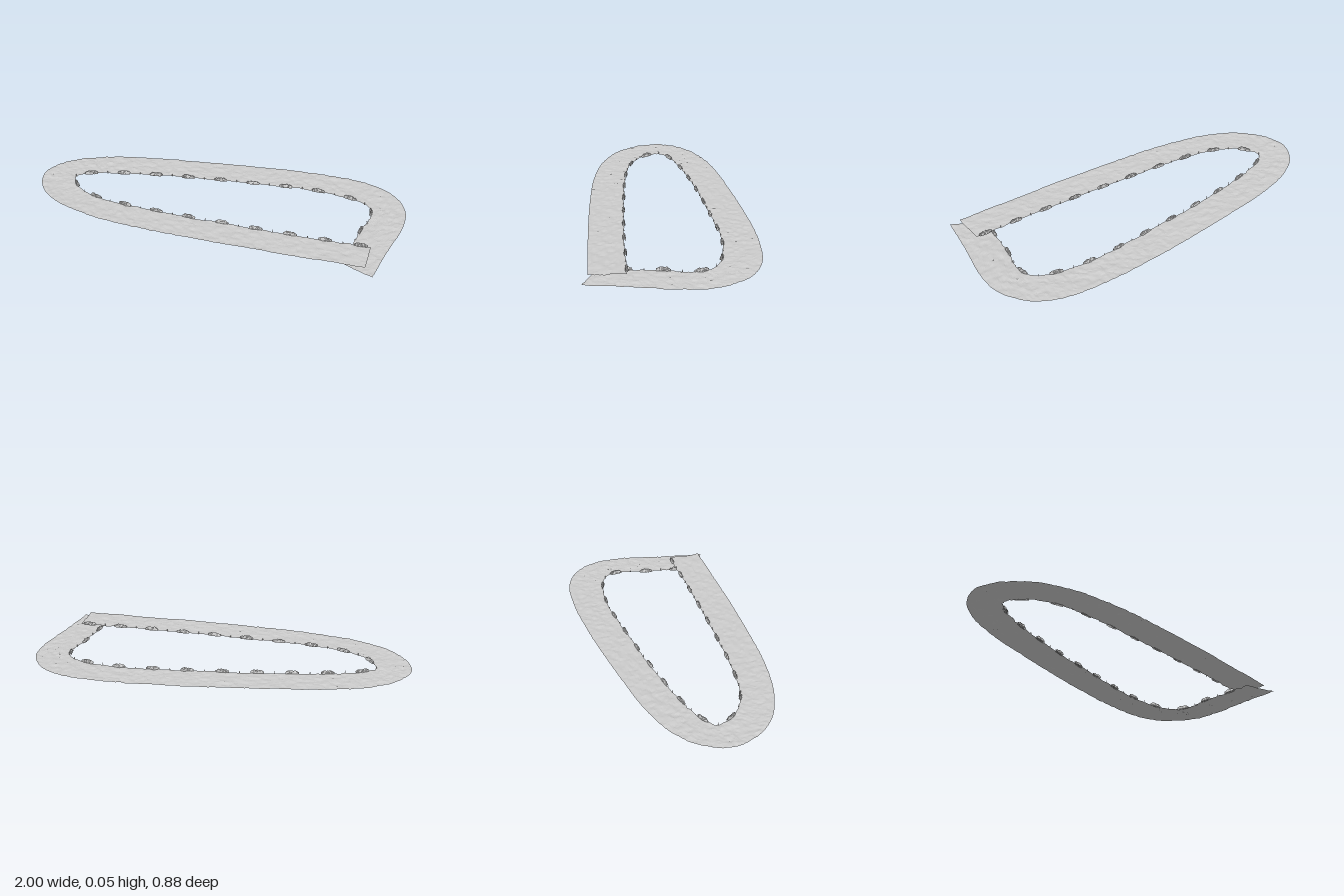
import * as THREE from 'three';

const material = new THREE.MeshStandardMaterial({ color: 0xcccccc, side: THREE.DoubleSide, flatShading: true });

// Paired edge points [outerX, outerZ, innerX, innerZ] along the rising loop
const EDGES = [
  [0.91, 0.435, 0.745, 0.36], [0.945, 0.22, 0.768, 0.2], [0.995, -0.05, 0.79, 0.03],
  [0.985, -0.2, 0.815, -0.08], [0.9, -0.34, 0.8, -0.17], [0.75, -0.42, 0.72, -0.225],
  [0.5, -0.445, 0.47, -0.262], [0.2, -0.432, 0.2, -0.245], [-0.2, -0.39, -0.2, -0.205],
  [-0.6, -0.33, -0.55, -0.15], [-0.8, -0.265, -0.7, -0.11], [-0.93, -0.175, -0.78, -0.075],
  [-0.998, -0.04, -0.815, -0.04], [-0.96, 0.1, -0.79, 0.025], [-0.85, 0.22, -0.73, 0.09],
  [-0.65, 0.31, -0.6, 0.15], [-0.4, 0.36, -0.4, 0.182], [0, 0.388, 0, 0.207],
  [0.4, 0.4, 0.4, 0.22], [0.868, 0.405, 0.868, 0.225],
];
const outer = new THREE.CatmullRomCurve3(EDGES.map(e => new THREE.Vector3(e[0], 0, e[1])));
const inner = new THREE.CatmullRomCurve3(EDGES.map(e => new THREE.Vector3(e[2], 0, e[3])));
inner.arcLengthDivisions = 800;

const hash = (x, z) => {
  const s = Math.sin(x * 127.1 + z * 311.7) * 43758.5453;
  return s - Math.floor(s);
};

// Smooth value noise in -0.5..0.5
function noise(x, z) {
  const i = Math.floor(x), j = Math.floor(z);
  const f = THREE.MathUtils.smoothstep(x - i, 0, 1), g = THREE.MathUtils.smoothstep(z - j, 0, 1);
  const a = THREE.MathUtils.lerp(hash(i, j), hash(i + 1, j), f);
  const b = THREE.MathUtils.lerp(hash(i, j + 1), hash(i + 1, j + 1), f);
  return THREE.MathUtils.lerp(a, b, g) - 0.5;
}
const bumps = (x, z) => 0.006 * noise(x * 38, z * 38) + 0.003 * noise(x * 80 + 9, z * 80);
const rise = t => 0.0045 + 0.029 * t;

// Grid surface whose vertices come from point(u, v)
function surface(nu, nv, point) {
  const positions = [], index = [];
  for (let i = 0; i <= nu; i++) {
    for (let j = 0; j <= nv; j++) {
      positions.push(...point(i / nu, j / nv));
      if (i < nu && j < nv) {
        const a = i * (nv + 1) + j, b = a + nv + 1;
        index.push(a, b, a + 1, b, b + 1, a + 1);
      }
    }
  }
  const geometry = new THREE.BufferGeometry();
  geometry.setAttribute('position', new THREE.Float32BufferAttribute(positions, 3));
  geometry.setIndex(index);
  geometry.computeVertexNormals();
  return geometry;
}

function add(parent, name, geometry) {
  const mesh = new THREE.Mesh(geometry, material);
  mesh.name = name;
  parent.add(mesh);
  return mesh;
}

export function createModel() {
  const model = new THREE.Group();
  model.name = 'rockyLoop';

  // Rough sheet climbing once round the loop, its end passing over its start
  add(model, 'rockyPath', surface(420, 22, (u, v) => {
    const p = outer.getPoint(u).lerp(inner.getPoint(u), v);
    const ragged = v === 1 ? 0.006 * noise(u * 160, 3) : 0;
    return [p.x + ragged, rise(u) + bumps(p.x, p.z), p.z + ragged];
  }));

  // Jagged rock clusters standing along the inner edge, with thin spikes between
  const rim = new THREE.Group();
  rim.name = 'innerRim';
  model.add(rim);
  const length = inner.getLength(), count = Math.round(length / 0.18);
  for (let k = 0; k < count; k++) {
    const centre = (k + 0.72) / count;
    const half = 0.035 / length;
    add(rim, 'rockCluster', surface(12, 8, (u, v) => {
      const s = Math.min(1, centre + (u * 2 - 1) * half);
      const t = inner.getUtoTmapping(s);
      const p = inner.getPoint(t), side = inner.getTangent(t);
      const angle = v * Math.PI;
      const ends = Math.min(1, 0.55 + 2 * Math.min(u, 1 - u));
      const rough = 0.75 + 0.5 * hash(Math.round(u * 12) + k * 17, Math.round(v * 8));
      const width = Math.cos(angle) * 0.007 * ends * rough;
      const y = rise(t) - 0.002 + Math.sin(angle) * 0.018 * ends * rough;
      return [p.x + side.z * width, y, p.z - side.x * width];
    }));

    const s = centre + 0.5 / count;
    if (s < 1) {
      const t = inner.getUtoTmapping(s), p = inner.getPoint(t);
      const spike = add(rim, 'spike', new THREE.ConeGeometry(0.003, 0.016, 5));
      spike.position.set(p.x, rise(t) + 0.007, p.z);
    }
  }
  return model;
}
